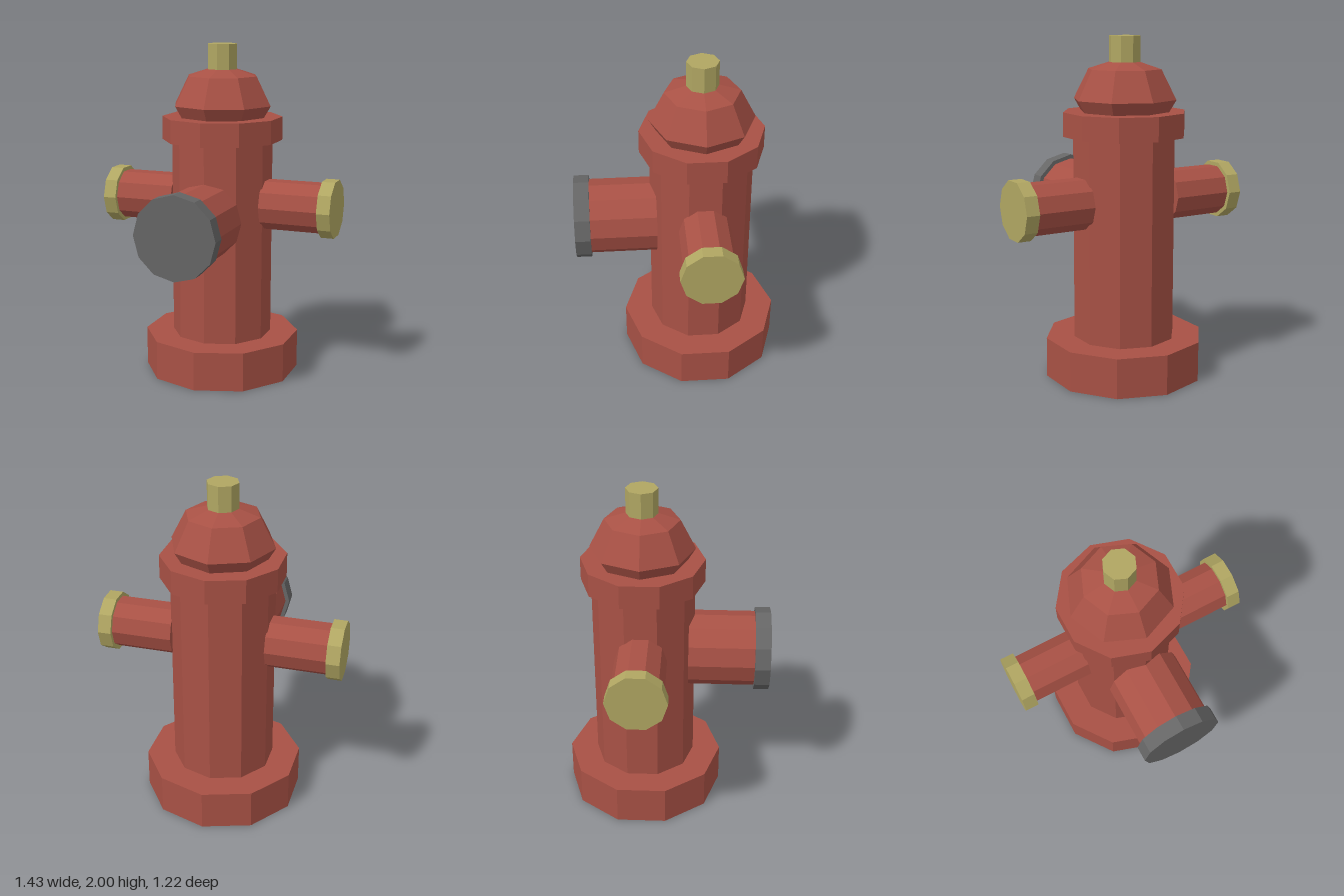
import * as THREE from 'three';

const AXIS_Z = -0.14; // the upright barrel sits behind the middle

export function createModel() {
  const group = new THREE.Group();
  const material = (name, color) => {
    const m = new THREE.MeshStandardMaterial({ color, flatShading: true });
    m.name = name;
    return m;
  };
  const red = material('red paint', 0xa85145);
  const brass = material('brass', 0xb0a662);
  const grey = material('grey iron', 0x666666);

  // Faceted drum from one end to the other along the given axis
  const drum = (name, mat, axis, r, from, to, sides, centre) => {
    const g = new THREE.CylinderGeometry(r, r, Math.abs(to - from), sides);
    if (axis === 'x') g.rotateZ(Math.PI / 2);
    if (axis === 'z') g.rotateX(Math.PI / 2);
    const mesh = new THREE.Mesh(g, mat);
    mesh.name = name;
    mesh.position.copy(centre);
    mesh.position[axis] = (from + to) / 2;
    group.add(mesh);
  };

  // Upright parts
  const upright = new THREE.Vector3(0, 0, AXIS_Z);
  drum('base', red, 'y', 0.47, 0, 0.235, 10, upright);
  drum('barrel', red, 'y', 0.302, 0.235, 1.43, 10, upright);
  drum('collar', red, 'y', 0.36, 1.43, 1.57, 10, upright);
  drum('topNut', brass, 'y', 0.092, 1.85, 2, 8, upright);

  // Eight-sided bonnet
  const profile = [[0, 1.57], [0.262, 1.57], [0.303, 1.64], [0.215, 1.812], [0.09, 1.852], [0, 1.852]];
  const bonnet = new THREE.Mesh(
    new THREE.LatheGeometry(profile.map(([r, y]) => new THREE.Vector2(r, y)), 8), red);
  bonnet.name = 'bonnet';
  bonnet.position.z = AXIS_Z;
  group.add(bonnet);

  // Side outlets with brass caps
  const sideCentre = new THREE.Vector3(0, 1.056, AXIS_Z);
  for (const [side, s] of [['left', 1], ['right', -1]]) {
    drum(side + 'Outlet', red, 'x', 0.151, s * 0.28, s * 0.64, 10, sideCentre);
    drum(side + 'Cap', brass, 'x', 0.175, s * 0.638, s * 0.717, 10, sideCentre);
  }

  // Large front outlet with iron cap
  const frontCentre = new THREE.Vector3(0, 0.985, 0);
  drum('frontOutlet', red, 'z', 0.221, 0.13, 0.52, 12, frontCentre);
  drum('frontCap', grey, 'z', 0.245, 0.518, 0.608, 12, frontCentre);

  return group;
}
